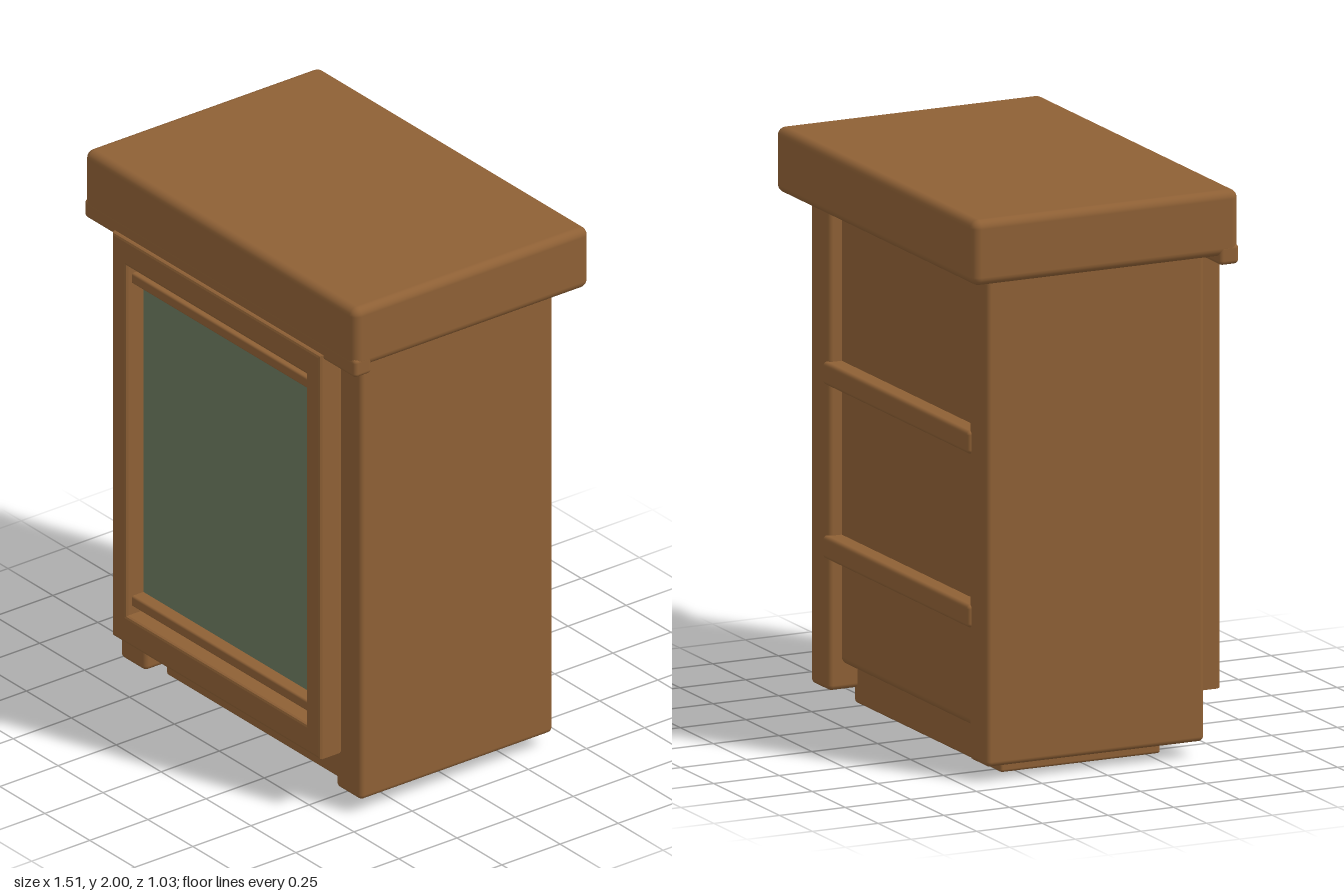
import * as THREE from 'three';
import { RoundedBoxGeometry } from 'three/addons/geometries/RoundedBoxGeometry.js';

export function createModel() {
  const model = new THREE.Group();
  model.name = 'cabinet';
  const wood = new THREE.MeshStandardMaterial({ name: 'brown wood', color: 0x8e6035 });
  const green = new THREE.MeshStandardMaterial({ name: 'green panel', color: 0x6b795d });

  // Rounded block given by its limits on each axis
  function block(name, [x0, x1], [y0, y1], [z0, z1], radius, material = wood) {
    const geometry = new RoundedBoxGeometry(x1 - x0, y1 - y0, z1 - z0, 3, radius);
    const mesh = new THREE.Mesh(geometry, material);
    mesh.name = name;
    mesh.position.set((x0 + x1) / 2, (y0 + y1) / 2, (z0 + z1) / 2);
    model.add(mesh);
  }

  // Top slab with the lip under its front edge
  block('topSlab', [-0.755, 0.755], [1.77, 2], [-0.512, 0.5], 0.03);
  block('topLip', [-0.755, 0.755], [1.74, 1.81], [0.425, 0.5], 0.015);

  // Plinth, inner carcass and thick side walls
  block('plinth', [-0.555, 0.555], [0, 0.135], [-0.31, 0.3], 0.01);
  block('carcass', [-0.56, 0.56], [0.143, 1.79], [-0.37, 0.385], 0.03);
  block('leftSide', [0.53, 0.67], [0.055, 1.79], [-0.42, 0.41], 0.018);
  block('rightSide', [-0.67, -0.53], [0.055, 1.79], [-0.42, 0.41], 0.018);

  // Battens across the back
  for (const y of [0.52, 1.13]) {
    block('backBatten', [-0.555, 0.555], [y, y + 0.08], [-0.433, -0.35], 0.014);
  }

  // Door frame with its opening
  const bevel = 0.01;
  const rectangle = (path, x, y0, y1) => path
    .moveTo(-x, y0).lineTo(x, y0).lineTo(x, y1).lineTo(-x, y1).closePath();
  const outline = rectangle(new THREE.Shape(), 0.58 - bevel, 0.21 + bevel, 1.76 - bevel);
  outline.holes.push(rectangle(new THREE.Path(), 0.5 + bevel, 0.315 - bevel, 1.66 + bevel));
  const frame = new THREE.Mesh(new THREE.ExtrudeGeometry(outline, {
    depth: 0.095 - 2 * bevel, bevelEnabled: true,
    bevelSize: bevel, bevelThickness: bevel, bevelSegments: 2,
  }), wood);
  frame.name = 'doorFrame';
  frame.position.z = 0.42 + bevel;
  model.add(frame);

  // Door panel, held between two inner rails
  block('doorPanel', [-0.51, 0.51], [0.36, 1.61], [0.385, 0.44], 0.004, green);
  for (const y of [0.345, 1.585]) {
    block('doorRail', [-0.51, 0.51], [y, y + 0.04], [0.415, 0.49], 0.008);
  }

  return model;
}
